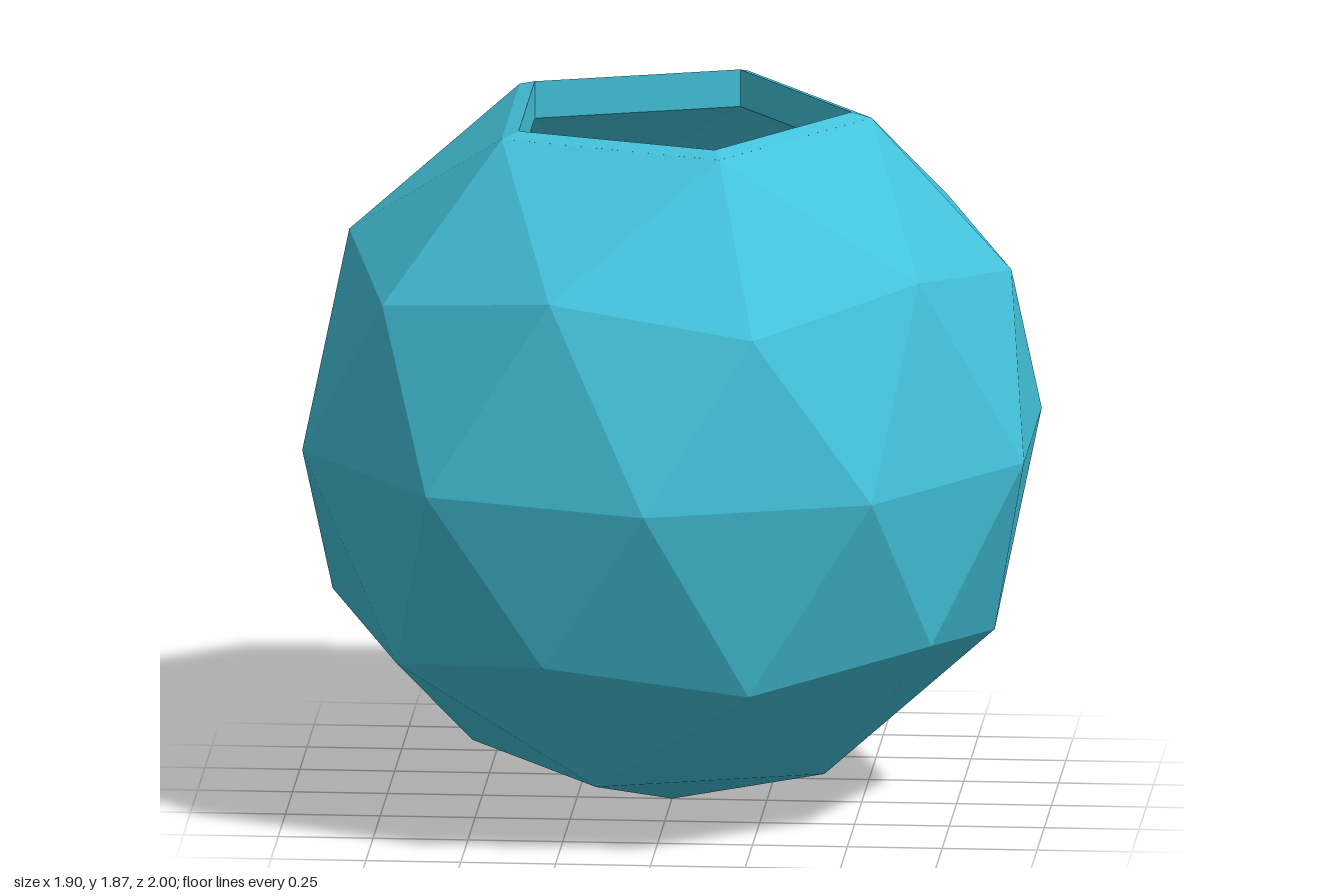
import * as THREE from 'three';

const teal = new THREE.MeshStandardMaterial({ color: 0x43c2da });
teal.name = 'teal';

// Faceted ball standing on a vertex, with the five faces around the top vertex left out
function openBall(radius, inward) {
  const source = new THREE.IcosahedronGeometry(1, 1);
  source.rotateZ(-Math.atan(2 / (1 + Math.sqrt(5))));
  const p = source.attributes.position;
  const kept = [];
  for (let i = 0; i < p.count; i += 3) {
    const corners = [0, 1, 2].map((k) => new THREE.Vector3().fromBufferAttribute(p, i + k));
    if (corners.some((c) => c.y > 0.99)) continue;
    if (inward) corners.reverse();
    for (const c of corners) kept.push(c.x * radius, c.y * radius, c.z * radius);
  }
  const geometry = new THREE.BufferGeometry();
  geometry.setAttribute('position', new THREE.Float32BufferAttribute(kept, 3));
  geometry.computeVertexNormals();
  return geometry;
}

// Five-sided lip: a narrow sloping edge, then a vertical wall down to the inner shell
function rimGeometry() {
  const profile = [[0.5257, 0.8507], [0.4731, 0.8656], [0.4731, 0.7656]];
  const geometry = new THREE.LatheGeometry(
    profile.map(([r, y]) => new THREE.Vector2(r, y)), 5, Math.PI / 2
  ).toNonIndexed();
  geometry.computeVertexNormals();
  return geometry;
}

export function createModel() {
  const group = new THREE.Group();
  group.name = 'facetedBowl';
  const add = (name, geometry) => {
    const mesh = new THREE.Mesh(geometry, teal);
    mesh.name = name;
    mesh.position.y = 1;
    group.add(mesh);
  };
  add('outerShell', openBall(1, false));
  add('innerShell', openBall(0.9, true));
  add('rim', rimGeometry());
  return group;
}
